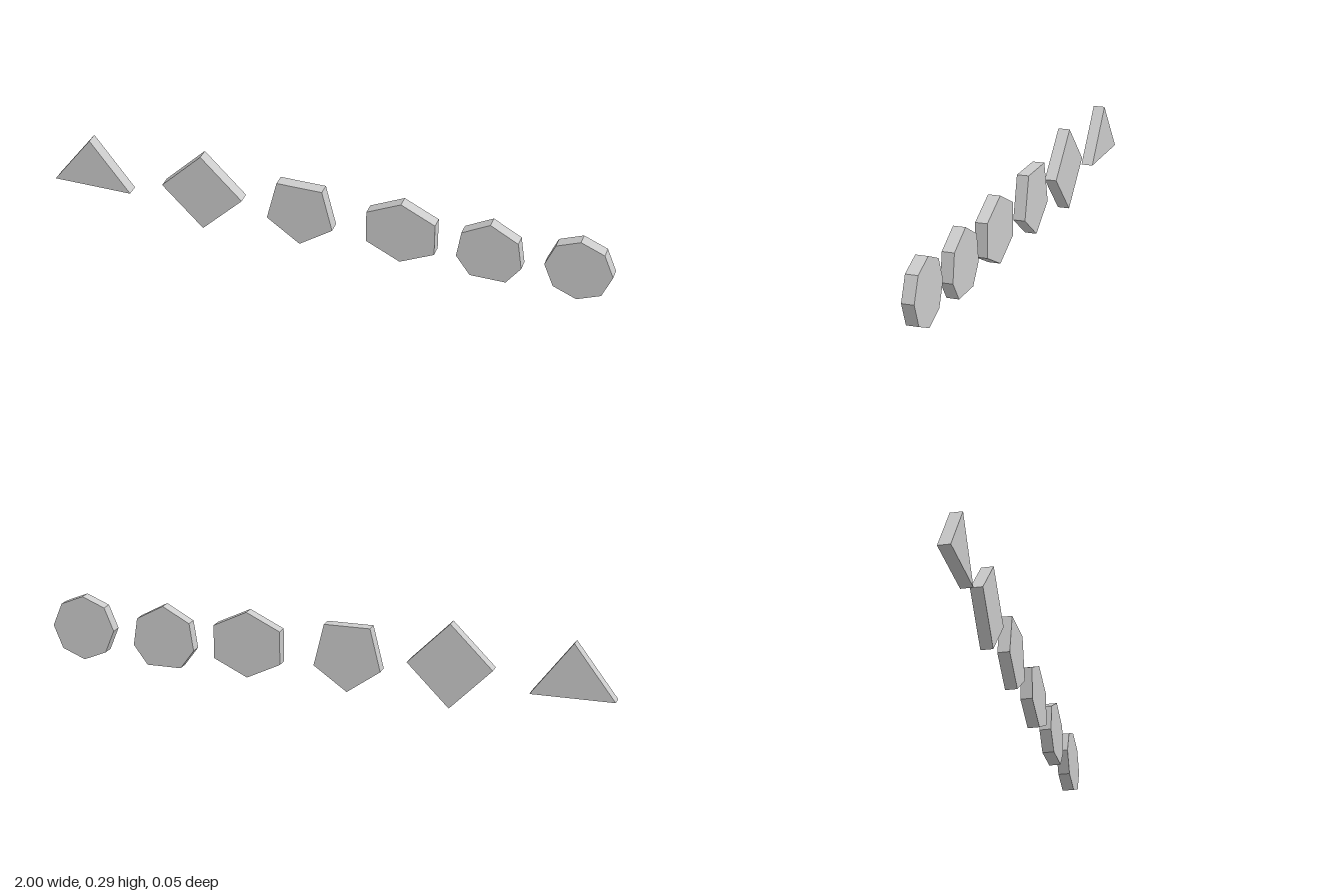
import * as THREE from 'three';

const DEPTH = 0.042;

// Corners of a regular polygon with one corner straight up
function regular(cx, cy, radius, sides) {
  return Array.from({ length: sides }, (_, i) => {
    const a = Math.PI / 2 + (i / sides) * Math.PI * 2;
    return [cx + radius * Math.cos(a), cy + radius * Math.sin(a)];
  });
}

// Full outline from its right half (top to bottom), mirrored about x = cx
function mirrored(cx, half) {
  const left = half.filter(([x]) => x > 0).reverse().map(([x, y]) => [-x, y]);
  return [...half, ...left].map(([x, y]) => [cx + x, y]);
}

export function createModel() {
  const group = new THREE.Group();
  group.name = 'polygonRow';
  const material = new THREE.MeshStandardMaterial({ color: 0xcccccc, flatShading: true });

  // Upright prisms in a row, from three sides to eight; back is the rear z of each
  const prisms = [
    { name: 'triangle', back: -0.022, points: mirrored(-0.857, [[0, 0.27], [0.143, 0.082]]) },
    { name: 'square', back: -0.022, points: regular(-0.442, 0.1475, 0.1475, 4) },
    { name: 'pentagon', back: -0.022, points: mirrored(-0.085, [[0.081, 0.251], [0.118, 0.102], [0, 0.019]]) },
    { name: 'hexagon', back: -0.022, points: mirrored(0.274, [[0, 0.266], [0.12, 0.208], [0.12, 0.09], [0, 0.032]]) },
    { name: 'heptagon', back: -0.0205, points: mirrored(0.582, [[0, 0.257], [0.097, 0.204], [0.112, 0.107], [0.062, 0.039]]) },
    { name: 'octagon', back: -0.0185, points: regular(0.885, 0.148, 0.115, 8) },
  ];

  for (const { name, back, points } of prisms) {
    const shape = new THREE.Shape(points.map(([x, y]) => new THREE.Vector2(x, y)));
    const geometry = new THREE.ExtrudeGeometry(shape, { depth: DEPTH, bevelEnabled: false });
    const mesh = new THREE.Mesh(geometry, material);
    mesh.name = name;
    mesh.position.z = back;
    group.add(mesh);
  }
  return group;
}
